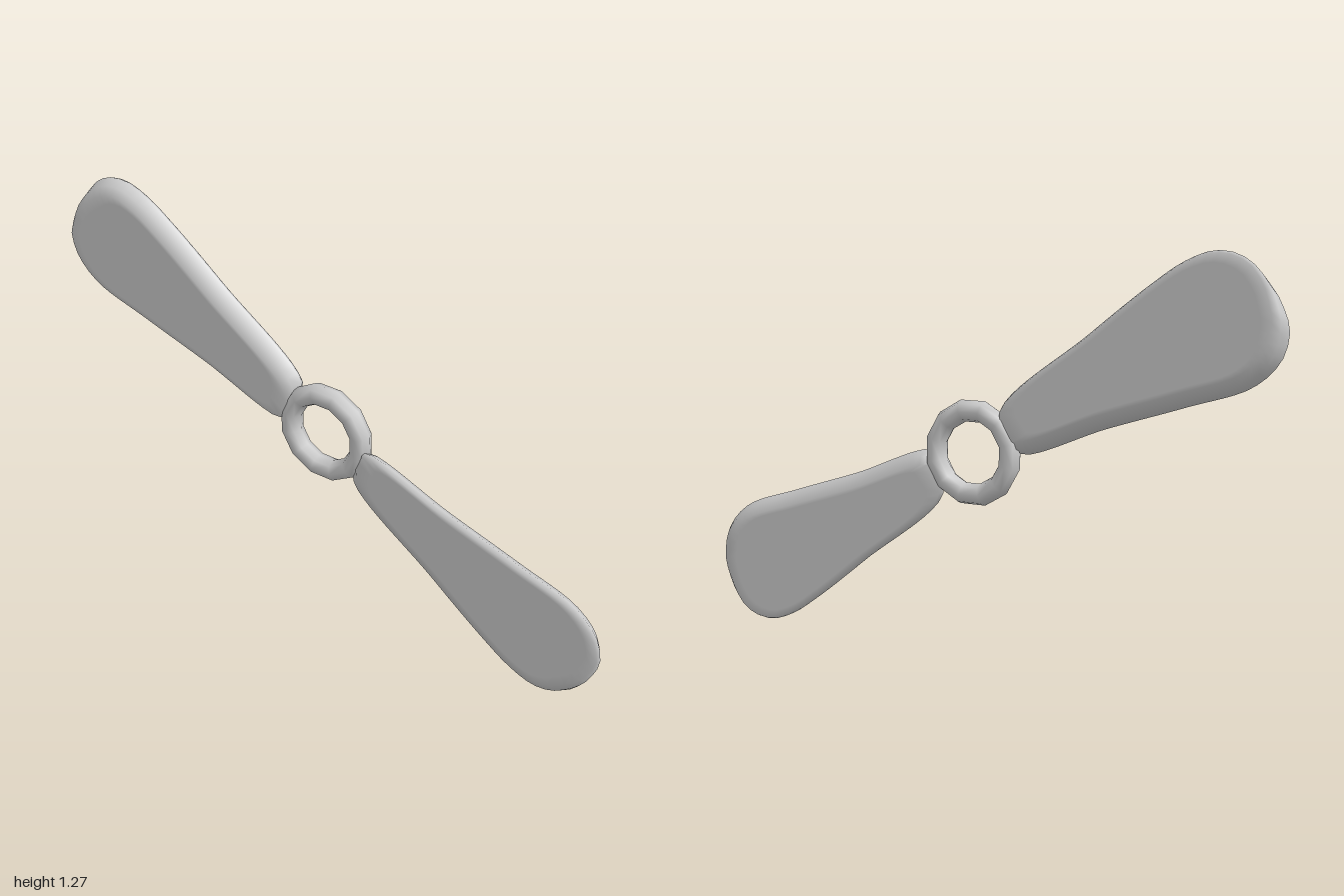
import * as THREE from 'three';

const material = new THREE.MeshStandardMaterial({ color: 0xcccccc });

// Blade outline as [outward, up] from the hub centre: leading edge, tip, trailing edge, root
const OUTLINE = [
  [0.10, 0.135], [0.4, 0.385], [0.6, 0.54], [0.7, 0.605], [0.79, 0.635], [0.87, 0.62],
  [0.95, 0.55], [0.99, 0.47], [1.0, 0.42], [0.98, 0.335], [0.9, 0.255], [0.7, 0.185],
  [0.45, 0.105], [0.16, 0.005], [0.125, 0.035],
];

// Layers through the thickness: x, inset at leading edge, inset at trailing edge, scale about the middle
const LAYERS = [
  [0.025, 0.006, 0.045, 0],
  [0.025, 0.006, 0.045, 0.9],
  [0.025, 0.006, 0.045, 1],
  [0.012, 0, 0.018, 1],
  [-0.017, 0.018, 0, 1],
  [-0.03, 0.045, 0.006, 1],
  [-0.03, 0.045, 0.006, 0.9],
  [-0.03, 0.045, 0.006, 0],
];

function bladeGeometry() {
  const n = 64;
  const curve = new THREE.CatmullRomCurve3(
    OUTLINE.map(([u, v]) => new THREE.Vector3(u, v, 0)), true, 'centripetal');
  const positions = [];
  const index = [];
  const middle = [0.64, 0.35];

  for (const [x, lead, trail, scale] of LAYERS) {
    for (let j = 0; j < n; j++) {
      const p = curve.getPointAt(j / n);
      const t = curve.getTangentAt(j / n);
      const nu = -t.y, nv = t.x; // outward normal of the outline
      const side = THREE.MathUtils.clamp(0.5 + 1.2 * (-0.45 * nu + 0.89 * nv), 0, 1);
      const inset = THREE.MathUtils.lerp(trail, lead, side);
      const u = middle[0] + (p.x - nu * inset - middle[0]) * scale;
      const v = middle[1] + (p.y - nv * inset - middle[1]) * scale;
      positions.push(x, v, -u);
    }
  }
  for (let i = 0; i < LAYERS.length - 1; i++) {
    for (let j = 0; j < n; j++) {
      const a = i * n + j, b = i * n + (j + 1) % n;
      const c = a + n, d = b + n;
      index.push(a, d, c, a, b, d);
    }
  }
  const geometry = new THREE.BufferGeometry();
  geometry.setAttribute('position', new THREE.Float32BufferAttribute(positions, 3));
  geometry.setIndex(index);
  geometry.computeVertexNormals();
  return geometry;
}

export function createModel() {
  const model = new THREE.Group();
  model.name = 'propeller';

  // Hub ring, its axis along x
  const ring = new THREE.TorusGeometry(0.134, 0.035, 8, 12);
  ring.rotateZ(Math.PI / 12);
  ring.rotateY(Math.PI / 2);
  const hub = new THREE.Mesh(ring, material);
  hub.name = 'hubRing';
  hub.position.y = 0.635;
  model.add(hub);

  // Two blades, half a turn apart
  const geometry = bladeGeometry();
  ['backBlade', 'frontBlade'].forEach((name, i) => {
    const blade = new THREE.Mesh(geometry, material);
    blade.name = name;
    blade.position.y = 0.635;
    blade.rotation.x = i * Math.PI;
    model.add(blade);
  });

  return model;
}
